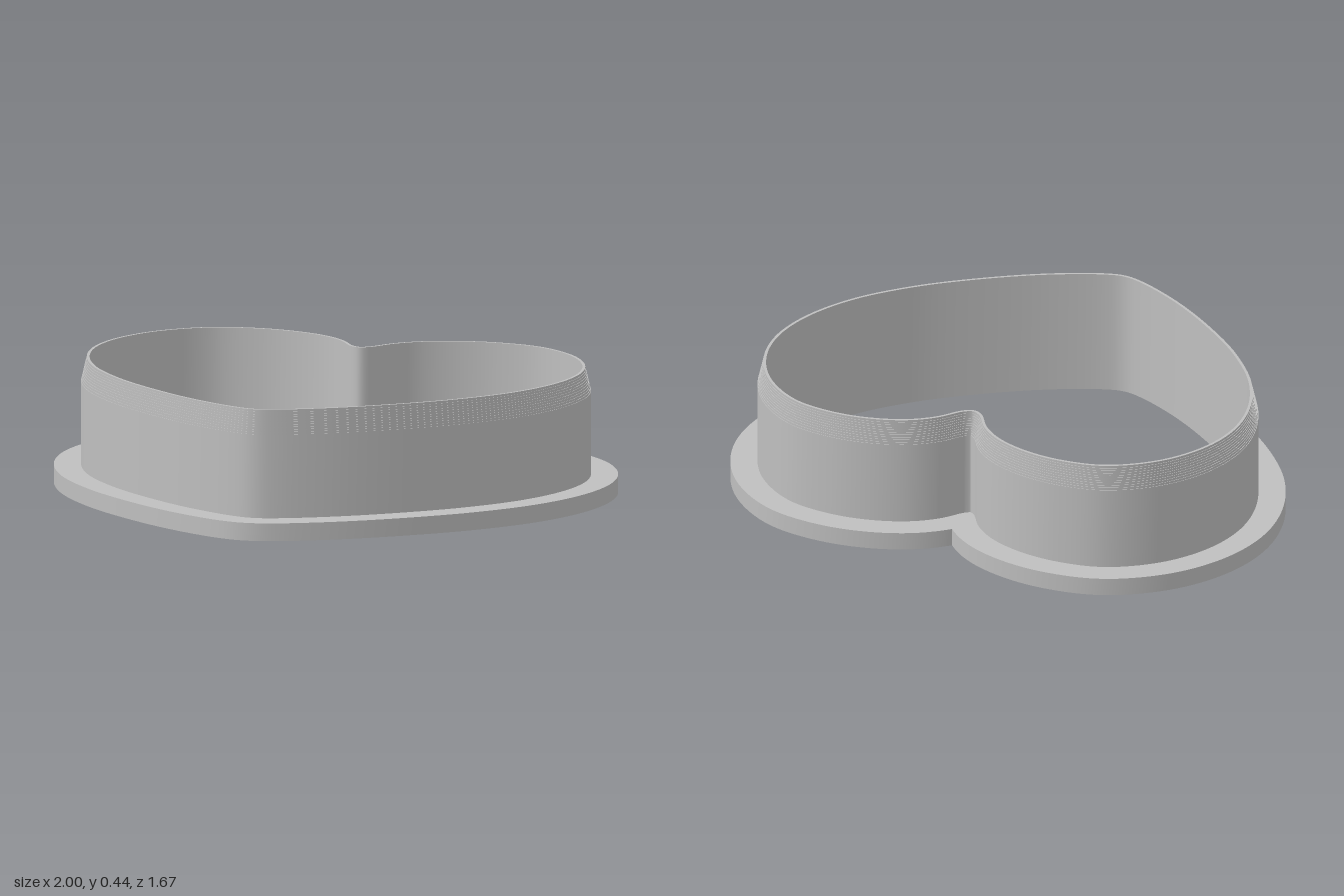
import * as THREE from 'three';

// Right half of the inner heart outline (x, z), from the notch to the tip
const HALF = [
  [0, -0.485], [0.035, -0.502], [0.1, -0.588], [0.18, -0.65], [0.3, -0.695], [0.44, -0.709],
  [0.6, -0.678], [0.75, -0.565], [0.842, -0.41], [0.875, -0.24], [0.85, -0.06], [0.765, 0.13],
  [0.62, 0.31], [0.45, 0.46], [0.25, 0.6], [0.07, 0.69], [0, 0.706],
];
const SIDES = 320; // samples around the whole heart

const mirrored = HALF.slice(1, -1).reverse().map(([x, z]) => [-x, z]);
const outline = new THREE.CatmullRomCurve3(
  [...HALF, ...mirrored].map(([x, z]) => new THREE.Vector3(x, 0, z)), true, 'centripetal');

// Outline pushed outward by d; the part that folds over at the notch is trimmed to a sharp corner
function offsetRing(d) {
  const half = [];
  for (let i = 0; i <= SIDES / 2; i++) {
    const p = outline.getPoint(i / SIDES);
    const t = outline.getTangent(i / SIDES);
    half.push([p.x + t.z * d, p.z - t.x * d]);
  }
  half[0][0] = half[SIDES / 2][0] = 0;
  let k = 0;
  for (let i = 1; i < SIDES / 4; i++) if (half[i][0] < 0) k = i;
  if (k > 0) {
    const [a, b] = [half[k], half[k + 1]];
    const z = a[1] + (b[1] - a[1]) * (-a[0] / (b[0] - a[0]));
    for (let i = 0; i <= k; i++) half[i] = [0, z];
  }
  return [...half, ...half.slice(1, -1).reverse().map(([x, z]) => [-x, z])];
}

// Sweep a profile of [offset, height] points around the heart, sharp between profile segments
function sweep(name, profile, material) {
  const positions = [];
  const index = [];
  for (let s = 0; s < profile.length - 1; s++) {
    const base = positions.length / 3;
    for (const [d, y] of [profile[s], profile[s + 1]]) {
      for (const [x, z] of offsetRing(d)) positions.push(x, y, z);
    }
    for (let i = 0; i < SIDES; i++) {
      const j = (i + 1) % SIDES;
      const a = base + i, a2 = base + j, b = a + SIDES, b2 = a2 + SIDES;
      index.push(a, b, a2, b, b2, a2);
    }
  }
  const geometry = new THREE.BufferGeometry();
  geometry.setAttribute('position', new THREE.Float32BufferAttribute(positions, 3));
  geometry.setIndex(index);
  geometry.computeVertexNormals();
  const mesh = new THREE.Mesh(geometry, material);
  mesh.name = name;
  return mesh;
}

export function createModel() {
  const group = new THREE.Group();
  group.name = 'heartCutter';
  const grey = new THREE.MeshStandardMaterial({ color: 0xbfbfbf });
  grey.name = 'grey plastic';

  // Wide flat flange to press on
  group.add(sweep('flange', [[0, 0], [0.125, 0], [0.125, 0.063], [0.03, 0.063]], grey));

  // Thin wall whose outside narrows to the cutting edge in fine steps
  const wall = [[0.03, 0.063], [0.03, 0.36]];
  const steps = 10;
  for (let i = 1; i <= steps; i++) {
    const d = 0.03 - 0.02 * i / steps;
    wall.push([d, wall[wall.length - 1][1]], [d, 0.36 + 0.085 * i / steps]);
  }
  wall.push([0, 0.445], [0, 0]);
  group.add(sweep('cuttingWall', wall, grey));

  return group;
}
